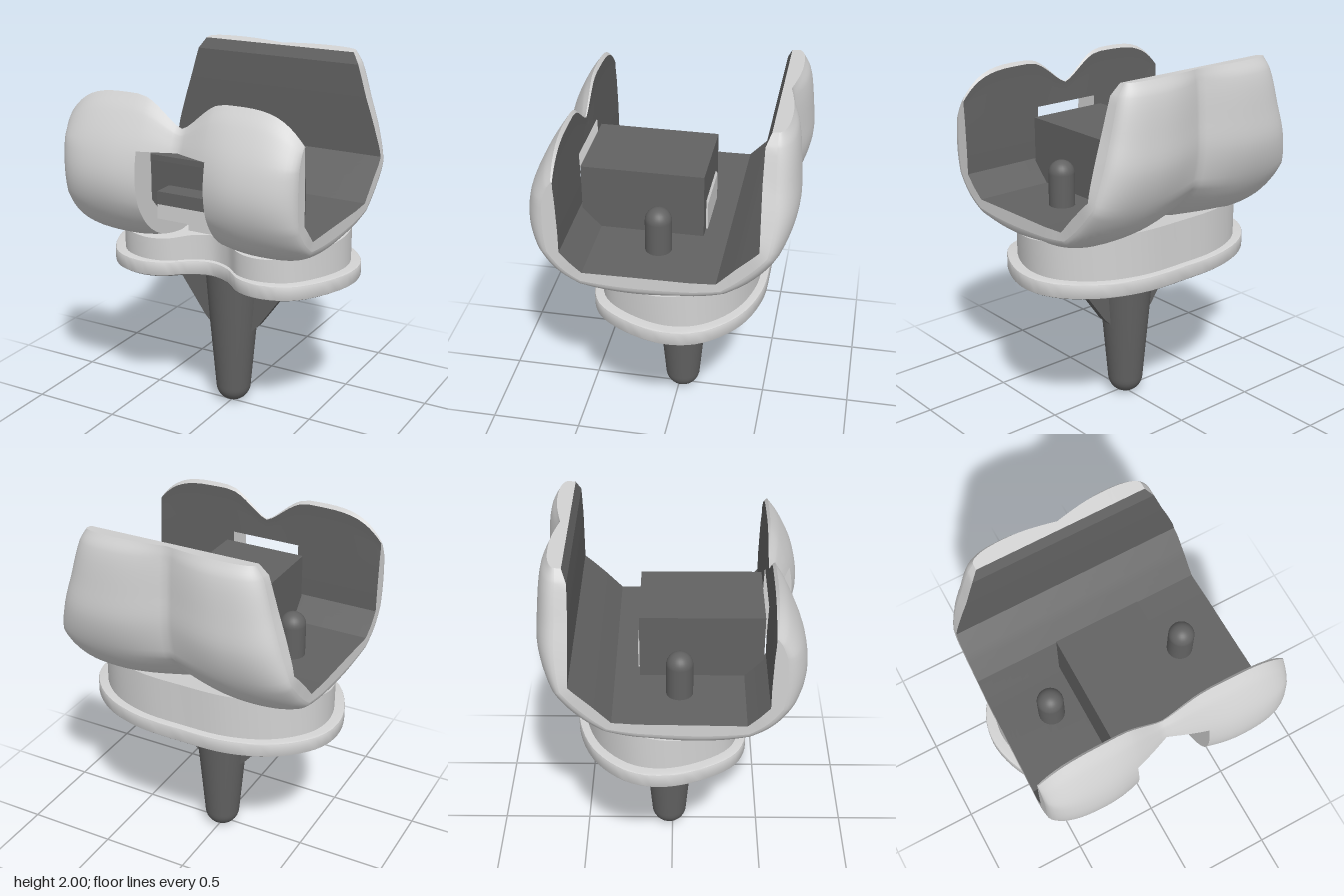
import * as THREE from 'three';
import { toCreasedNormals } from 'three/addons/utils/BufferGeometryUtils.js';

const polished = new THREE.MeshStandardMaterial({ color: 0xd2d2d2 });
polished.name = 'polished light grey';
const matte = new THREE.MeshStandardMaterial({ color: 0x626262 });
matte.name = 'matte dark grey';

function add(parent, name, geometry, material, x = 0, y = 0, z = 0) {
  const mesh = new THREE.Mesh(geometry, material);
  mesh.name = name;
  mesh.position.set(x, y, z);
  parent.add(mesh);
  return mesh;
}

// Shell stations from front tip, underneath, to back tip:
// inner z, inner y, outer z, outer y, half width
const STATIONS = [
  [0.5, 1.87, 0.515, 1.89, 0.68], [0.5, 1.8, 0.575, 1.8, 0.68],
  [0.495, 1.62, 0.655, 1.62, 0.68], [0.49, 1.45, 0.678, 1.46, 0.68],
  [0.49, 1.33, 0.645, 1.32, 0.68], [0.435, 1.27, 0.55, 1.18, 0.68],
  [0.38, 1.215, 0.4, 1.09, 0.675], [0.15, 1.215, 0.17, 1.045, 0.67],
  [-0.17, 1.215, -0.17, 1.07, 0.665], [-0.3, 1.22, -0.36, 1.12, 0.66],
  [-0.4, 1.325, -0.5, 1.21, 0.66], [-0.51, 1.43, -0.61, 1.36, 0.655],
  [-0.505, 1.6, -0.67, 1.55, 0.61], [-0.5, 1.75, -0.665, 1.73, 0.56],
  [-0.5, 1.93, -0.64, 1.93, 0.505], [-0.525, 1.99, -0.605, 2.0, 0.465],
];
const NOTCH = 0.2, SUB = 5, MID = 12, SIDE = 14;

// Double-lobed front edge height
function frontTop(x) {
  const a = Math.abs(x);
  return a < 0.25
    ? 1.74 + 0.15 * Math.sin((Math.PI / 2) * (a / 0.25)) ** 1.4
    : 1.89 - 0.15 * ((a - 0.25) / 0.43) ** 4;
}

// Share of full shell thickness across the width: central groove, lobe, thin rim
function lobe(a, groove) {
  if (a < 0.58) return groove + (1 - groove) * Math.sin((Math.PI / 2) * (a / 0.58));
  const e = Math.min(1, (a - 0.58) / 0.42);
  return 0.4 + 0.6 * Math.sqrt(1 - e ** 2.6);
}

function buildShell(group) {
  const curve = new THREE.CatmullRomCurve3(STATIONS.map((s) => new THREE.Vector3(s[2], s[3], s[4])));
  const rows = (STATIONS.length - 1) * SUB, cols = MID + 2 * SIDE;
  const outer = [], inner = [];
  for (let i = 0; i <= rows; i++) {
    const k = Math.min(Math.floor(i / SUB), STATIONS.length - 2), f = i / SUB - k;
    const o = curve.getPoint(i / rows), w = o.z;
    const iz = THREE.MathUtils.lerp(STATIONS[k][0], STATIONS[k + 1][0], f);
    const iy = THREE.MathUtils.lerp(STATIONS[k][1], STATIONS[k + 1][1], f);
    for (let j = 0; j <= cols; j++) {
      const c = j - cols / 2, n = Math.abs(c) - MID / 2;
      const x = n <= 0 ? (c / (MID / 2)) * NOTCH
        : Math.sign(c) * (NOTCH + (w - NOTCH) * Math.sin((Math.PI / 2) * (n / SIDE)));
      const t = lobe(Math.abs(x) / w, i < rows / 2 ? 0.38 : 0.55);
      const trim = (y) => (i < 2 * SUB && y > 1.62 ? 1.62 + ((y - 1.62) * (frontTop(x) - 1.62)) / 0.27 : y);
      outer.push([x, trim(iy + (o.y - iy) * t), iz + (o.x - iz) * t]);
      inner.push([x, trim(iy), iz]);
    }
  }
  // Cells of the grid, leaving out the slot between the lobes
  const kept = (i, j) => i >= 0 && j >= 0 && i < rows && j < cols &&
    !(i >= 2 * SUB && i < 8 * SUB && j >= SIDE && j < SIDE + MID);
  const outerIdx = [], innerIdx = [], rim = [];
  for (let i = 0; i < rows; i++) {
    for (let j = 0; j < cols; j++) {
      if (!kept(i, j)) continue;
      const a = i * (cols + 1) + j, b = a + cols + 1, c = b + 1, d = a + 1;
      outerIdx.push(a, b, c, a, c, d);
      innerIdx.push(a, c, b, a, d, c);
      const edges = [[a, b, i, j - 1], [b, c, i + 1, j], [c, d, i, j + 1], [d, a, i - 1, j]];
      for (const [p, q, ni, nj] of edges) {
        if (kept(ni, nj)) continue;
        rim.push(...outer[q], ...outer[p], ...inner[p], ...outer[q], ...inner[p], ...inner[q]);
      }
    }
  }
  const make = (points, index) => {
    const g = new THREE.BufferGeometry();
    g.setAttribute('position', new THREE.Float32BufferAttribute(points, 3));
    if (index) g.setIndex(index);
    g.computeVertexNormals();
    return g;
  };
  add(group, 'shellOuterSurface', make(outer.flat(), outerIdx), polished);
  add(group, 'shellInnerSurface', toCreasedNormals(make(inner.flat(), innerIdx), 0.3), matte);
  add(group, 'shellRim', toCreasedNormals(make(rim), 0.6), polished);
}

// Kidney outline, drawn with the back towards +y
function kidney(sx, sy) {
  const half = [[0, 0.45], [0.28, 0.435], [0.52, 0.34], [0.68, 0.17], [0.72, 0], [0.67, -0.2],
    [0.54, -0.39], [0.38, -0.45], [0.24, -0.425], [0.12, -0.33], [0, -0.29]];
  const mirrored = half.slice(1, -1).reverse().map(([x, y]) => [-x, y]);
  const loop = [...half, ...mirrored].map(([x, y]) => new THREE.Vector3(x * sx, y * sy + 0.06, 0));
  const pts = new THREE.CatmullRomCurve3(loop, true).getPoints(96).slice(0, -1);
  return new THREE.Shape(pts.map((p) => new THREE.Vector2(p.x, p.y)));
}

function slab(sx, sy, depth, bevel = 0) {
  const g = new THREE.ExtrudeGeometry(kidney(sx, sy), {
    depth: depth - 2 * bevel, bevelEnabled: bevel > 0, bevelSize: bevel, bevelOffset: -bevel,
    bevelThickness: bevel, bevelSegments: 2,
  });
  g.rotateX(-Math.PI / 2).translate(0, bevel, 0);
  return g;
}

// Extrude a (z, y) profile symmetrically across x
function acrossX(profile, width) {
  const shape = new THREE.Shape(profile.map(([z, y]) => new THREE.Vector2(-z, y)));
  return new THREE.ExtrudeGeometry(shape, { depth: width, bevelEnabled: false })
    .translate(0, 0, -width / 2).rotateY(Math.PI / 2);
}

export function createModel() {
  const model = new THREE.Group();
  model.name = 'kneeJoint';

  // Upper shell with its central housing and pegs
  const upper = new THREE.Group();
  upper.name = 'upperComponent';
  model.add(upper);
  buildShell(upper);
  const box = (name, w, h, d, x, y, z, m = matte) => add(upper, name, new THREE.BoxGeometry(w, h, d), m, x, y, z);
  box('housingRoof', 0.47, 0.03, 0.65, 0, 1.555, 0.155);
  box('housingBack', 0.47, 0.4, 0.03, 0, 1.37, -0.155);
  box('crossBar', 0.4, 0.07, 0.12, 0, 1.325, 0.38);
  box('crossBarBase', 0.4, 0.08, 0.12, 0, 1.25, 0.38, polished);
  for (const s of [-1, 1]) {
    box('housingSide', 0.035, 0.4, 0.65, s * 0.2185, 1.37, 0.155);
    add(upper, 'peg', new THREE.CapsuleGeometry(0.07, 0.2, 10, 24), matte, s * 0.39, 1.29, 0.04);
  }

  // Bearing insert, its top rising towards the back
  const lower = new THREE.Group();
  lower.name = 'lowerComponent';
  model.add(lower);
  const insert = slab(0.92, 0.91, 0.1);
  const pos = insert.attributes.position;
  for (let i = 0; i < pos.count; i++) {
    pos.setY(i, pos.getY(i) > 0.05 ? 1.105 - 0.145 * pos.getZ(i) : 0.92);
  }
  add(lower, 'bearingInsert', toCreasedNormals(insert, 0.5), polished);
  add(lower, 'insertPost', acrossX([[-0.18, 1.05], [-0.18, 1.37], [-0.16, 1.4], [-0.08, 1.4],
    [0, 1.22], [0.2, 1.12], [0.2, 1.05]], 0.32), polished);

  // Base tray with dark underside
  add(lower, 'baseTray', toCreasedNormals(slab(1, 1, 0.08, 0.008), 0.5), polished, 0, 0.85, 0);
  add(lower, 'trayUnderside', slab(0.985, 0.98, 0.006), matte, 0, 0.847, 0);

  // Tapered stem with rounded tip
  const profile = [];
  for (let i = 0; i <= 8; i++) {
    const a = (i / 8) * (Math.PI / 2);
    profile.push(new THREE.Vector2(0.1 * Math.sin(a), 0.1 - 0.1 * Math.cos(a)));
  }
  profile.push(new THREE.Vector2(0.135, 0.5), new THREE.Vector2(0.162, 0.85));
  add(lower, 'stem', new THREE.LatheGeometry(profile, 40), matte, 0, 0, -0.02);

  // Side fins
  const fin = new THREE.Shape([[-0.42, 0.85], [-0.17, 0.5], [-0.12, 0.45], [0.12, 0.45], [0.17, 0.5], [0.42, 0.85]]
    .map(([x, y]) => new THREE.Vector2(x, y)));
  add(lower, 'fins', new THREE.ExtrudeGeometry(fin, { depth: 0.05, bevelEnabled: false }), matte, 0, 0, -0.045);

  return model;
}
